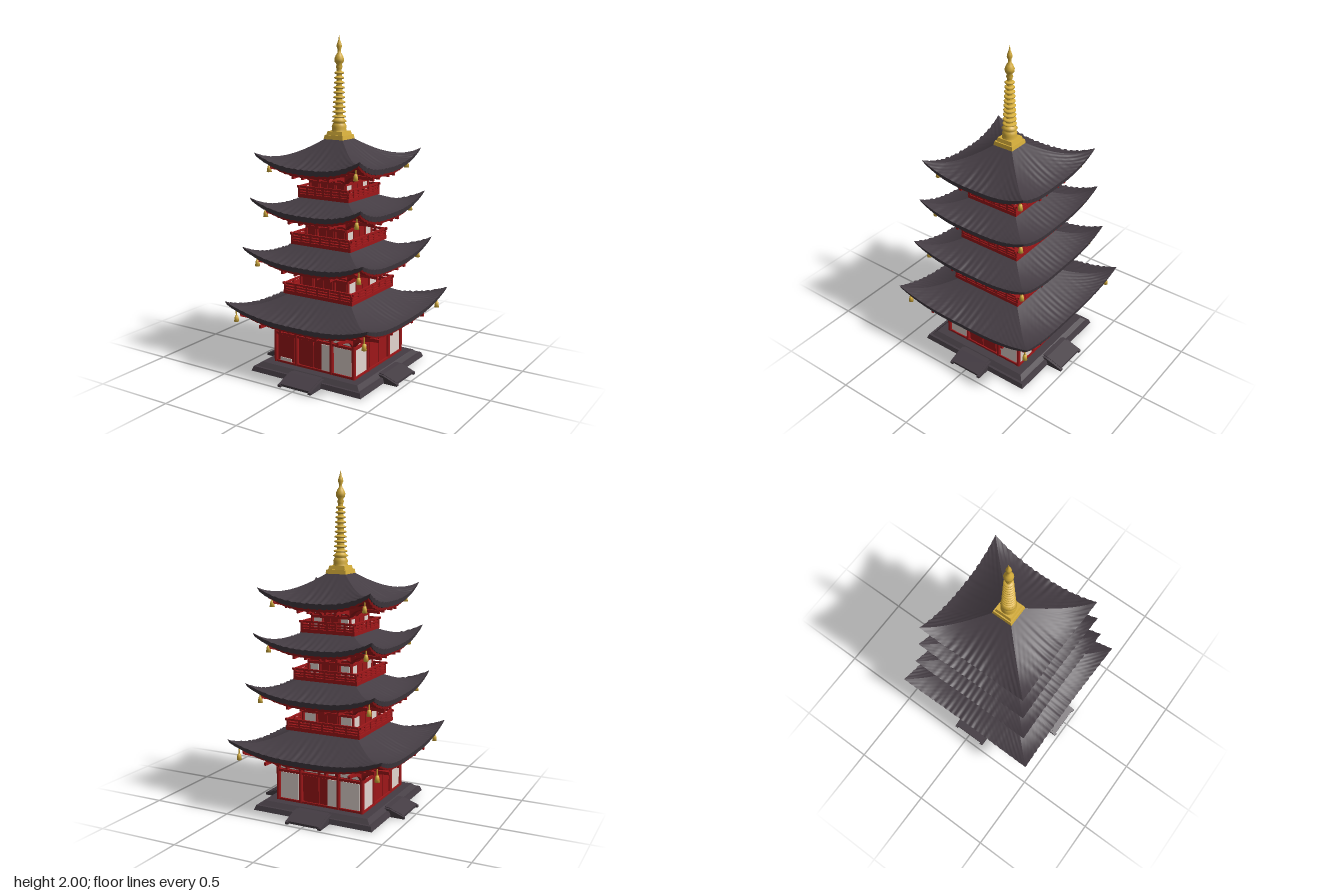
import * as THREE from 'three';

const paint = (name, color) => Object.assign(new THREE.MeshStandardMaterial({ color }), { name });
const TILE = paint('dark tile', 0x443c43);
const RED = paint('vermilion', 0x9e1719);
const DEEP = paint('deep red', 0x66171a);
const WHITE = paint('plaster', 0xe2d5cf);
const GOLD = paint('gold', 0xd6ae3b);

function add(parent, name, geo, mat, x = 0, y = 0, z = 0) {
  const m = new THREE.Mesh(geo, mat);
  m.name = name;
  m.position.set(x, y, z);
  parent.add(m);
  return m;
}
const box = (p, name, mat, w, h, d, x, y, z) => add(p, name, new THREE.BoxGeometry(w, h, d), mat, x, y, z);

// Square frustum with flat faces, standing on y
function frustum(parent, name, mat, r0, r1, h, y) {
  const g = new THREE.CylinderGeometry(r1 * Math.SQRT2, r0 * Math.SQRT2, h, 4).rotateY(Math.PI / 4).toNonIndexed();
  g.computeVertexNormals();
  return add(parent, name, g, mat, 0, y + h / 2, 0);
}

// One group per side, turned so that local +z points outward
function fourSides(parent, name, build) {
  for (let i = 0; i < 4; i++) {
    const side = new THREE.Group();
    side.name = name;
    side.rotation.y = i * Math.PI / 2;
    parent.add(side);
    build(side, i);
  }
}

// Grid surface: u runs -1..1 along the side, v runs 0..1 outward
function sheet(cols, rows, f) {
  const pos = [], idx = [];
  for (let j = 0; j <= rows; j++)
    for (let i = 0; i <= cols; i++) pos.push(...f(i / cols * 2 - 1, j / rows));
  for (let j = 0; j < rows; j++)
    for (let i = 0; i < cols; i++) {
      const a = j * (cols + 1) + i, b = a + cols + 1;
      idx.push(a, b, b + 1, a, b + 1, a + 1);
    }
  const g = new THREE.BufferGeometry();
  g.setAttribute('position', new THREE.Float32BufferAttribute(pos, 3));
  g.setIndex(idx);
  g.computeVertexNormals();
  return g;
}

// Curved hip roof with upswept corners, tile ripples, red fascia and soffit
function buildRoof(parent, t) {
  const roof = new THREE.Group();
  roof.name = 'roof';
  parent.add(roof);
  const { lerp } = THREE.MathUtils;
  const lift = (u) => 0.078 * Math.abs(u) ** 2.6;
  const surface = (u, v) => {
    const h = lerp(t.top, t.eave, v), x = u * h;
    const wave = (Math.cos(x * 2 * Math.PI / 0.04) + 0.5 * Math.cos(x * 97 + v * 3)) * (1 - u ** 8);
    const y = lerp(t.eaveY, t.topY, (1 - v) ** 1.5) + lift(u) * v ** 3;
    return [x, y + 0.0022 * wave * v, h - 0.018 * v * v * (1 - u * u) + 0.002 * wave * v * v];
  };
  // The rim thins toward the corners
  const edge = (u, inset, drop) => {
    const [x, y, z] = surface(u, 1);
    const s = 1 - inset / t.eave;
    return [x * s, y - drop * (1 - 0.3 * u ** 4), z * s];
  };
  const soffit = (u, v) => {
    const [x, y, z] = edge(u, 0.028, 0.05);
    return [lerp(x, u * t.wall, v), lerp(y, t.wallTop, v ** 0.7), lerp(z, t.wall, v)];
  };
  fourSides(roof, 'roofSide', (s) => {
    add(s, 'tiles', sheet(120, 9, surface), TILE);
    add(s, 'eaveEdge', sheet(120, 1, (u, v) => edge(u, 0.008 * v, 0.031 * v)), TILE);
    add(s, 'eaveUnderside', sheet(120, 1, (u, v) => edge(u, 0.008 + 0.014 * v, 0.031)), TILE);
    add(s, 'fascia', sheet(120, 1, (u, v) => edge(u, 0.022 + 0.006 * v, 0.03 + 0.02 * v)), RED);
    add(s, 'outerSoffit', sheet(120, 2, (u, v) => soffit(u, v * 0.35)), RED);
    add(s, 'innerSoffit', sheet(120, 3, (u, v) => soffit(u, 0.35 + v * 0.65)), t.soffit);
  });
}

// Curved bracket arm reaching out along +z from the wall
function bracket(parent, reach, rise, drop, thick) {
  const sh = new THREE.Shape();
  sh.moveTo(0, 0);
  sh.lineTo(reach, rise);
  sh.lineTo(reach, rise - 0.018);
  sh.quadraticCurveTo(reach * 0.25, -drop * 0.25, 0.012, -drop);
  sh.lineTo(0, -drop);
  const g = new THREE.ExtrudeGeometry(sh, { depth: thick, bevelEnabled: false, curveSegments: 6 });
  g.translate(0, 0, -thick / 2).rotateY(-Math.PI / 2);
  return add(parent, 'bracket', g, RED);
}

function buildWalls(parent, t, ground) {
  const { wall: w, base, wallTop: top } = t;
  const H = top - base, r = ground ? 0.013 : 0.008, bay = w * 0.45;
  box(parent, 'wallCore', RED, 2 * w - 0.01, H + 0.02, 2 * w - 0.01, 0, base + H / 2, 0);
  fourSides(parent, 'wall', (s, i) => {
    for (const x of [-w, -bay, bay])
      add(s, 'column', new THREE.CylinderGeometry(r, r, H, 10), RED, x, base + H / 2, w);
    const beams = ground ? [0.03, 0.68, 0.98] : [0.05, 0.6, 0.98];
    for (const f of beams) box(s, 'beam', RED, 2 * w, 0.015, 0.02, 0, base + H * f, w);
    const panel = (name, mat, x, pw, f0, f1) =>
      box(s, name, mat, pw, H * (f1 - f0), 0.008, x, base + H * (f0 + f1) / 2, w - 0.001);
    const ox = (w + bay) / 2, ow = w - bay - 2 * r - 0.006;
    for (const x of [-ox, 0, ox])
      panel('upperPlaster', WHITE, x, x ? ow : bay * 1.6, 0.73, 0.92);
    // Strut dividing the middle plaster
    box(s, 'strut', RED, ground ? 0.018 : 0.01, H * 0.3, 0.012, 0, base + H * 0.83, w);
    for (const x of [-ox, ox]) {
      const plain = i === 0 && (!ground || x < 0);
      panel('sidePanel', plain ? RED : WHITE, x, ow, ground ? 0.06 : 0.2, ground ? 0.64 : 0.55);
    }
    // Double door
    for (const d of [-1, 1]) panel('door', RED, d * bay * 0.42, bay * 0.78, 0.06, 0.64);
    if (ground && i % 2 === 0)
      box(s, 'doorSidePlaster', WHITE, 0.06, H * 0.58, 0.008, 0.087, base + H * 0.35, w + 0.004);
    if (ground && i === 0)
      box(s, 'plasterFoot', WHITE, ow * 0.7, 0.02, 0.008, -ox, base + 0.026, w + 0.004);
    // Brackets under the eave, with a diagonal one at the corner
    const reach = t.eave - w - 0.05, drop = ground ? 0.07 : 0.06;
    for (const x of [-0.98, -0.45, 0.45, 0.98])
      bracket(s, reach, t.eaveY - 0.045 - top, drop, 0.014).position.set(x * w, top, w);
    const diag = bracket(s, reach * 1.3, t.eaveY - top, drop, 0.02);
    diag.position.set(w, top, w);
    diag.rotation.y = Math.PI / 4;
    // Cross arm
    box(s, 'crossArm', RED, 2 * w + reach * 0.8, 0.01, 0.014, 0, top - 0.004, w + reach * 0.4);
    // Hanging bell at the corner
    const c = t.bell;
    const bell = [[0, -0.017], [0.015, -0.017], [0.012, 0.005], [0.009, 0.018], [0, 0.022]];
    add(s, 'bell', new THREE.LatheGeometry(bell.map(p => new THREE.Vector2(...p)), 10), GOLD, c, t.bellY, c);
    box(s, 'bellHook', GOLD, 0.006, 0.04, 0.006, c, t.bellY + 0.035, c);
  });
}

// Balcony deck with posts and three rails
function buildBalcony(parent, b, y) {
  const g = new THREE.Group();
  g.name = 'balcony';
  parent.add(g);
  box(g, 'deck', RED, 2 * b, 0.022, 2 * b, 0, y + 0.005, 0);
  fourSides(g, 'railing', (s) => {
    for (const [dy, over, th] of [[0.024, 0, 0.01], [0.04, 0, 0.01], [0.058, 0.008, 0.012]])
      box(s, 'rail', RED, 2 * (b + over), th, 0.012, 0, y + dy, b - 0.008);
    for (let k = 0; k < 6; k++)
      box(s, 'post', RED, 0.013, 0.062, 0.013, -(b - 0.008) * (1 - k / 3), y + 0.031, b - 0.008);
  });
}

function buildBase(parent) {
  const g = new THREE.Group();
  g.name = 'base';
  parent.add(g);
  frustum(g, 'lowerSlab', TILE, 0.385, 0.375, 0.028, 0.006);
  frustum(g, 'upperSlab', TILE, 0.36, 0.335, 0.024, 0.034);
  // Sloping stairs in the middle of each side
  fourSides(g, 'stair', (s, i) => {
    const end = i % 2 ? 0.46 : 0.475;
    const sh = new THREE.Shape([[0.3, 0.005], [end, 0.005], [end, 0.018], [0.37, 0.05], [0.3, 0.058]]
      .map(p => new THREE.Vector2(...p)));
    const ramp = (w, name) => {
      const geo = new THREE.ExtrudeGeometry(sh, { depth: w, bevelEnabled: false });
      geo.translate(0, 0, -w / 2).rotateY(-Math.PI / 2);
      return add(s, name, geo, TILE);
    };
    ramp(0.2, 'ramp');
    for (const x of [-0.105, 0.105]) ramp(0.02, 'stairCurb').position.set(x, -0.005, 0.008);
  });
}

function buildSpire(parent) {
  const g = new THREE.Group();
  g.name = 'spire';
  parent.add(g);
  frustum(g, 'spirePlinth', GOLD, 0.066, 0.062, 0.024, 1.402);
  frustum(g, 'spireBlock', GOLD, 0.055, 0.049, 0.024, 1.424);
  const lathe = (name, pts) =>
    add(g, name, new THREE.LatheGeometry(pts.map(p => new THREE.Vector2(...p)), 20), GOLD);
  lathe('spireBowl', [[0.046, 1.445], [0.041, 1.462], [0.044, 1.475], [0.038, 1.49], [0.032, 1.497],
    [0.046, 1.505], [0.034, 1.515], [0.022, 1.53]]);
  add(g, 'spireShaft', new THREE.CylinderGeometry(0.013, 0.025, 0.36, 14), GOLD, 0, 1.66, 0);
  for (let k = 0; k < 10; k++) {
    const r = 0.041 - k * 0.0014, y = 1.532 + k * 0.028;
    lathe('spireRing', [[r * 0.5, y - 0.009], [r * 0.95, y - 0.004], [r, y + 0.002], [r * 0.85, y + 0.006], [r * 0.45, y + 0.01]]);
  }
  lathe('finial', [[0.013, 1.8], [0.02, 1.82], [0.014, 1.832], [0.026, 1.847], [0.028, 1.865], [0.02, 1.885],
    [0.01, 1.9], [0.009, 1.915], [0.016, 1.935], [0.013, 1.95], [0.006, 1.968], [0, 2.0]]);
}

export function createModel() {
  const model = new THREE.Group();
  model.name = 'pagoda';
  buildBase(model);
  const tiers = [
    { wall: 0.275, base: 0.055, wallTop: 0.33, eave: 0.49, eaveY: 0.375, top: 0.21, topY: 0.482, bell: 0.443, bellY: 0.342, soffit: RED },
    { wall: 0.165, base: 0.48, wallTop: 0.663, eave: 0.412, eaveY: 0.703, top: 0.18, topY: 0.786, bell: 0.35, bellY: 0.675, soffit: TILE },
    { wall: 0.14, base: 0.78, wallTop: 0.958, eave: 0.377, eaveY: 0.995, top: 0.15, topY: 1.07, bell: 0.312, bellY: 0.972, soffit: TILE },
    { wall: 0.123, base: 1.06, wallTop: 1.222, eave: 0.356, eaveY: 1.257, top: 0.05, topY: 1.412, bell: 0.294, bellY: 1.236, soffit: DEEP },
  ];
  const balconies = [null, [0.241, 0.487], [0.208, 0.789], [0.176, 1.069]];
  tiers.forEach((t, i) => {
    const tier = new THREE.Group();
    tier.name = `tier${i + 1}`;
    model.add(tier);
    buildWalls(tier, t, i === 0);
    buildRoof(tier, t);
    if (balconies[i]) buildBalcony(tier, ...balconies[i]);
  });
  buildSpire(model);
  return model;
}
